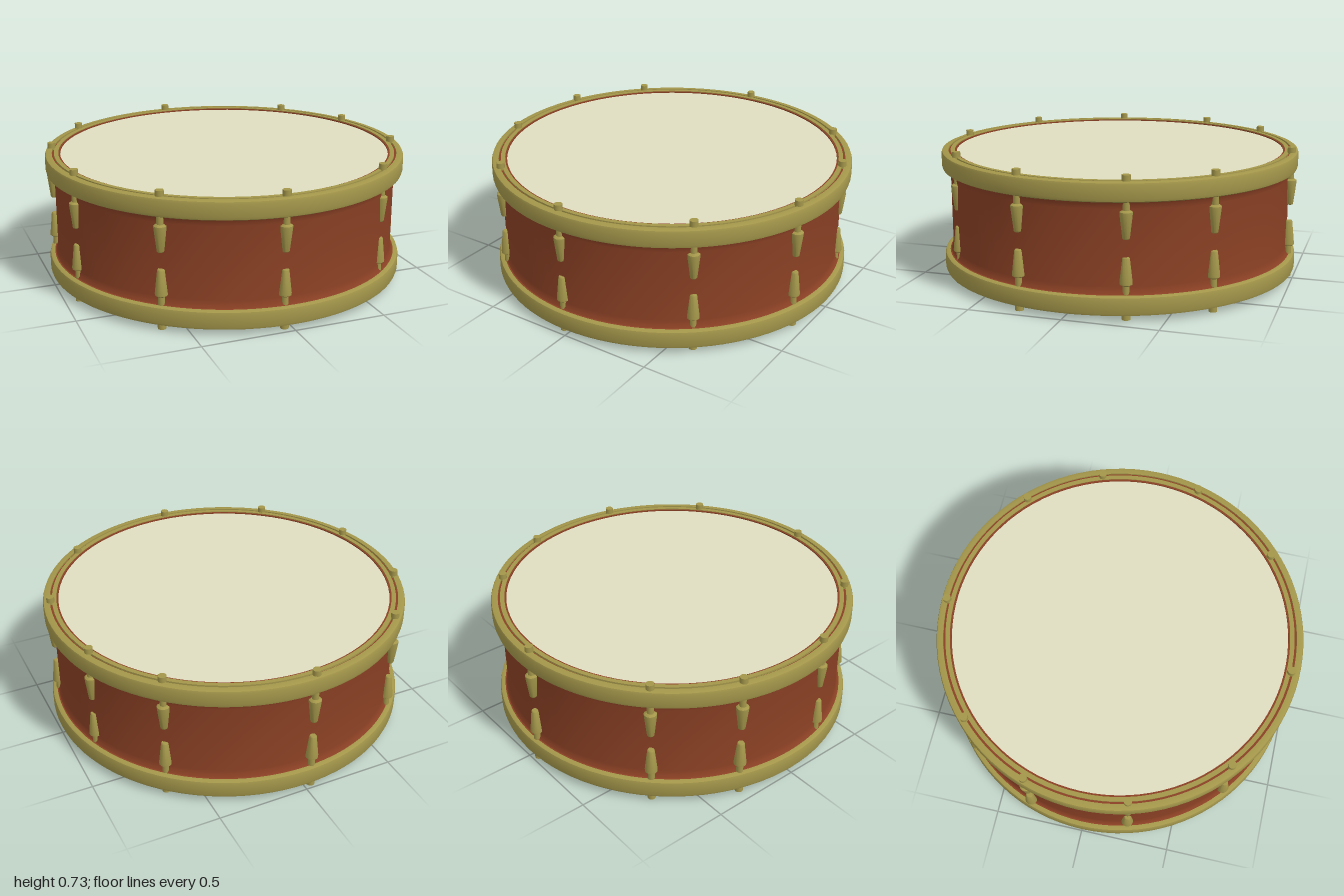
import * as THREE from 'three';
import { toCreasedNormals } from 'three/addons/utils/BufferGeometryUtils.js';

const brass = new THREE.MeshStandardMaterial({ color: 0xa3964a });
const wood = new THREE.MeshStandardMaterial({ color: 0x8a4024 });
const skin = new THREE.MeshStandardMaterial({ color: 0xdedcc0 });

const MID = 0.365; // height of the mirror plane between the two heads
const HALF = 0.335; // mid plane to hoop rim

function mesh(name, geometry, material) {
  const m = new THREE.Mesh(geometry, material);
  m.name = name;
  return m;
}

// Revolved counter-clockwise [radius, y] profile with crisp edges
function turned(points, segments, crease = 0.6) {
  const g = new THREE.LatheGeometry(points.map(([r, y]) => new THREE.Vector2(r, y)), segments);
  return toCreasedNormals(g, crease);
}

// Hoop, inner ring, bead and skin for one end; y is measured from the mid plane
function addEnd(group, side, label) {
  const ring = (name, pts, material) => {
    const p = pts.map(([r, y]) => [r, MID + side * y]);
    if (side < 0) p.reverse();
    p.push(p[0]);
    group.add(mesh(label + name, turned(p, 96), material));
  };
  ring('Hoop', [
    [0.962, HALF - 0.1], [0.985, HALF - 0.1], [0.996, HALF - 0.094], [1, HALF - 0.08],
    [1, HALF - 0.015], [0.996, HALF - 0.004], [0.985, HALF], [0.962, HALF],
  ], brass);
  ring('InnerRing', [[0.926, HALF - 0.06], [0.95, HALF - 0.06], [0.95, HALF], [0.926, HALF]], brass);
  ring('HeadBead', [[0.916, HALF - 0.03], [0.927, HALF - 0.03], [0.927, HALF - 0.004], [0.916, HALF - 0.004]], wood);
  const head = mesh(label + 'Head', new THREE.CylinderGeometry(0.919, 0.919, 0.02, 96), skin);
  head.position.y = MID + side * (HALF - 0.02);
  group.add(head);
}

// Tension rod with its bolt head and tapered lug; y is measured from the mid plane
function tensioner(side) {
  const g = new THREE.Group();
  g.name = side > 0 ? 'upperTensioner' : 'lowerTensioner';
  const rod = mesh('rod', new THREE.CylinderGeometry(0.018, 0.018, 0.19, 16), brass);
  rod.position.y = 0.255;
  const bolt = mesh('bolt', new THREE.CylinderGeometry(0.022, 0.022, 0.04, 16), brass);
  bolt.position.y = HALF + 0.01;
  const lug = mesh('lug', turned([
    [0, 0.045], [0.015, 0.045], [0.019, 0.05], [0.033, 0.172], [0.033, 0.182], [0.022, 0.19], [0, 0.19],
  ], 16), brass);
  g.add(rod, bolt, lug);
  g.position.y = MID;
  if (side < 0) g.rotation.x = Math.PI;
  return g;
}

export function createModel() {
  const model = new THREE.Group();
  model.name = 'drum';

  // Wooden shell, flaring where it meets each hoop
  model.add(mesh('shell', turned([
    [0.948, 0.04], [0.963, 0.04], [0.985, 0.1], [0.985, 0.126], [0.965, 0.132], [0.957, 0.145], [0.953, 0.17],
    [0.953, 0.56], [0.957, 0.585], [0.965, 0.598], [0.985, 0.604], [0.985, 0.63], [0.963, 0.69],
    [0.948, 0.69], [0.948, 0.04],
  ], 96), wood));

  addEnd(model, 1, 'upper');
  addEnd(model, -1, 'lower');

  // Ten pairs of tensioners around the shell, as [x, z]
  const spots = [
    [-0.04, 0.95], [0.61, 0.725], [0.925, 0.25], [0.9, -0.305], [0.66, -0.69],
    [-0.04, -0.965], [-0.675, -0.69], [-0.92, -0.305], [-0.92, 0.25], [-0.615, 0.735],
  ];
  for (const [x, z] of spots) {
    for (const side of [1, -1]) {
      const t = tensioner(side);
      t.position.x = x;
      t.position.z = z;
      model.add(t);
    }
  }
  return model;
}
